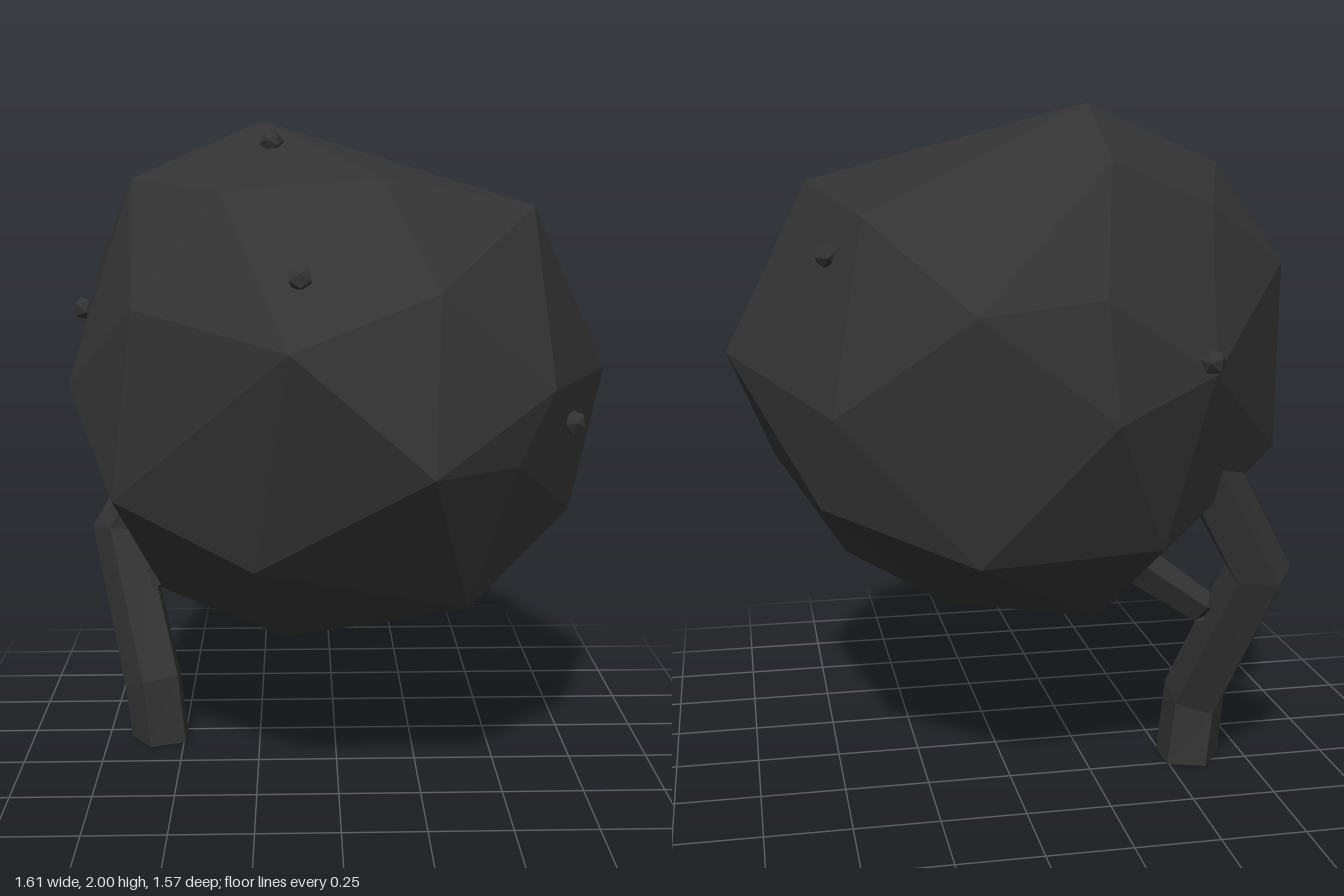
import * as THREE from 'three';
import { ConvexGeometry } from 'three/addons/geometries/ConvexGeometry.js';

const V = (p) => new THREE.Vector3(...p);

// Faceted limb: a ring of corners round each path point [x, y, z, radius], capped at both ends
function limbGeometry(path, sides, turn = 0) {
  const pts = path.map((p) => V(p));
  const pos = [], index = [];
  const n = path.length;
  pts.forEach((p, i) => {
    const dir = pts[Math.min(i + 1, n - 1)].clone().sub(pts[Math.max(i - 1, 0)]).normalize();
    if (i === 0 && p.y < 0.01) dir.set(0, 1, 0);
    const ref = Math.abs(dir.x) > 0.9 ? V([0, 1, 0]) : V([1, 0, 0]);
    const a = ref.addScaledVector(dir, -ref.dot(dir)).normalize();
    const b = dir.clone().cross(a);
    for (let k = 0; k < sides; k++) {
      const t = turn + (k / sides) * Math.PI * 2;
      const q = p.clone()
        .addScaledVector(a, Math.cos(t) * path[i][3])
        .addScaledVector(b, Math.sin(t) * path[i][3]);
      pos.push(q.x, q.y, q.z);
    }
  });
  for (let i = 0; i < n - 1; i++) {
    for (let k = 0; k < sides; k++) {
      const a = i * sides + k, b = i * sides + (k + 1) % sides;
      index.push(a, b, b + sides, a, b + sides, a + sides);
    }
  }
  const end = (n - 1) * sides;
  for (let k = 1; k < sides - 1; k++) {
    index.push(0, k + 1, k, end, end + k, end + k + 1);
  }
  const g = new THREE.BufferGeometry();
  g.setAttribute('position', new THREE.Float32BufferAttribute(pos, 3));
  g.setIndex(index);
  g.computeVertexNormals();
  return g;
}

export function createModel() {
  const group = new THREE.Group();
  const dark = new THREE.MeshStandardMaterial({ color: 0x333333, flatShading: true });
  const add = (name, geometry) => {
    const mesh = new THREE.Mesh(geometry, dark);
    mesh.name = name;
    group.add(mesh);
    return mesh;
  };

  // Lumpy faceted crown: corners from the top down
  const upper = [
    [-0.22, 2.0, -0.23], [0.54, 1.77, 0.28], [0.11, 1.85, 0.41], [-0.33, 1.81, 0.31],
    [-0.62, 1.83, -0.17], [-0.2, 1.85, -0.58], [-0.5, 1.73, -0.51], [0.43, 1.7, -0.36],
    [0.25, 1.57, 0.66], [-0.57, 1.5, 0.4], [-0.75, 1.56, -0.38], [-0.14, 1.43, 0.76],
    [-0.15, 1.51, -0.75], [0.18, 1.47, -0.74],
  ];
  const lower = [
    [0.8, 1.28, 0.05], [0.57, 1.3, 0.55], [0.23, 1.11, 0.785], [0.47, 1.1, 0.59],
    [-0.785, 1.25, 0.15], [-0.46, 1.3, -0.7], [-0.18, 1.19, -0.785], [0.53, 1.18, -0.52],
    [-0.76, 1.02, -0.35], [-0.64, 0.96, 0.39], [0.66, 0.91, 0.3], [0.56, 0.91, -0.41],
    [-0.24, 0.8, 0.56], [0.16, 0.79, -0.66], [-0.36, 0.8, -0.6], [0.46, 0.65, 0.05],
    [0.36, 0.65, 0.43], [-0.53, 0.62, 0.12], [-0.25, 0.51, -0.3], [-0.16, 0.485, 0.19],
    [0.16, 0.485, -0.01],
  ];
  add('crown', new ConvexGeometry([...upper, ...lower].map(V)));

  // Bent trunk running into the side of the crown
  add('trunk', limbGeometry([
    [-0.575, 0, -0.2, 0.1], [-0.595, 0.2, -0.2, 0.1],
    [-0.71, 0.66, -0.4, 0.1], [-0.52, 1.0, -0.43, 0.09],
  ], 5, Math.PI));

  // Short branch from the trunk to the underside of the crown
  add('branch', limbGeometry([
    [-0.66, 0.49, -0.3, 0.035], [-0.58, 0.52, -0.29, 0.05], [-0.38, 0.66, -0.26, 0.06],
  ], 4));

  // Small fruits dotted over the crown
  const fruitGeometry = new THREE.IcosahedronGeometry(0.036, 0);
  const fruits = [
    [-0.11, 1.6, 0.6], [-0.19, 1.94, 0.01], [0.65, 1.18, 0.39],
    [0.52, 1.59, -0.28], [-0.77, 1.44, -0.12], [-0.44, 1.34, -0.725],
  ];
  fruits.forEach((p, i) => {
    const fruit = add('fruit' + (i + 1), fruitGeometry);
    fruit.position.set(...p);
    fruit.rotation.set(i, i * 0.7, 0);
  });

  return group;
}
